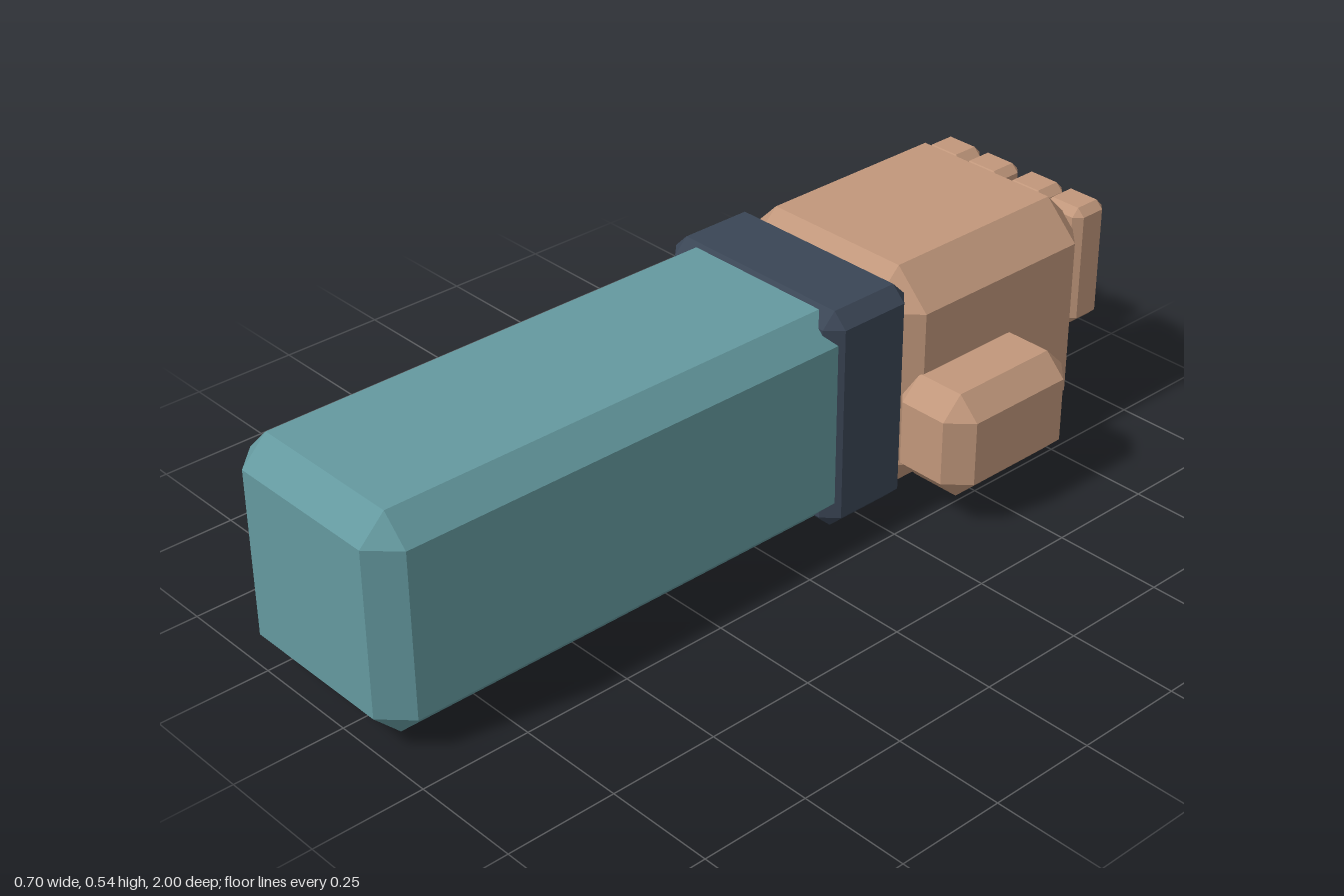
import * as THREE from 'three';
import { ConvexGeometry } from 'three/addons/geometries/ConvexGeometry.js';

const material = (color) => new THREE.MeshStandardMaterial({ color, flatShading: true });

// Box with bevelled edges and corners, given by its minimum and maximum corners
function bevelBox(name, min, max, bevel, mat) {
  const half = max.map((v, i) => (v - min[i]) / 2);
  const points = [];
  for (const sx of [-1, 1]) for (const sy of [-1, 1]) for (const sz of [-1, 1]) {
    const sign = [sx, sy, sz];
    // each corner becomes three points, one on each adjoining face
    for (let face = 0; face < 3; face++) {
      const p = sign.map((s, i) => s * (half[i] - (i === face ? 0 : bevel)));
      points.push(new THREE.Vector3(...p));
    }
  }
  const mesh = new THREE.Mesh(new ConvexGeometry(points), mat);
  mesh.name = name;
  mesh.position.set(...max.map((v, i) => (v + min[i]) / 2));
  return mesh;
}

export function createModel() {
  const model = new THREE.Group();
  model.name = 'arm';
  const cloth = material(0x64999f);
  const band = material(0x3a4555);
  const skin = material(0xc1977b);

  // Forearm sleeve and cuff
  model.add(bevelBox('sleeve', [-0.325, 0.02, -0.3], [0.165, 0.52, 1], 0.06, cloth));
  model.add(bevelBox('cuff', [-0.338, 0.01, -0.131], [0.175, 0.528, -0.367].map((v) => v), 0.033, band));
  const cuff = model.children[1];
  model.remove(cuff);
  model.add(bevelBox('cuff', [-0.338, 0.01, -0.367], [0.175, 0.528, -0.131], 0.033, band));

  // Fist
  const hand = new THREE.Group();
  hand.name = 'hand';
  hand.add(bevelBox('palm', [-0.349, 0, -0.94], [0.188, 0.537, -0.305], 0.084, skin));
  hand.add(bevelBox('thumb', [0.13, 0.06, -0.705], [0.347, 0.31, -0.335], 0.05, skin));

  // Four curled fingers across the knuckles
  [-0.265, -0.149, -0.016, 0.1].forEach((x, i) => {
    hand.add(bevelBox(`finger${i + 1}`, [x - 0.055, 0.212, -1], [x + 0.055, 0.499, -0.903], 0.018, skin));
  });
  model.add(hand);
  return model;
}
